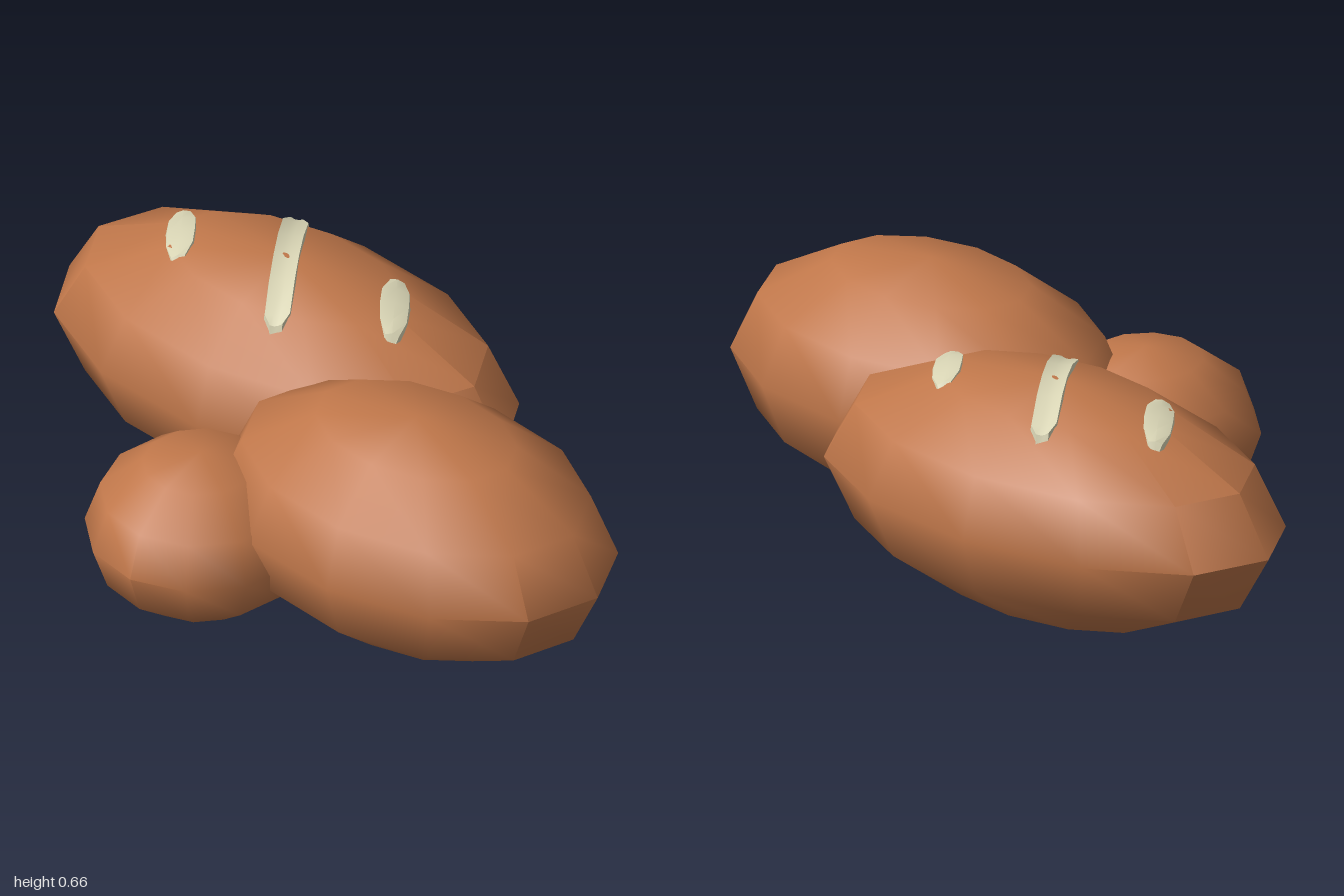
import * as THREE from 'three';
import { toCreasedNormals } from 'three/addons/utils/BufferGeometryUtils.js';

const crust = new THREE.MeshStandardMaterial({ color: 0xc0774a });
crust.name = 'crust brown';
const cream = new THREE.MeshStandardMaterial({ color: 0xd9d5b5, side: THREE.DoubleSide });
cream.name = 'cream slash';

const CREASE = THREE.MathUtils.degToRad(48);

// Low-sided ellipsoid loaf
function loaf(name, center, radii) {
  const geo = new THREE.SphereGeometry(1, 12, 6).scale(...radii);
  const mesh = new THREE.Mesh(toCreasedNormals(geo, CREASE), crust);
  mesh.name = name;
  mesh.position.set(...center);
  return mesh;
}

// Thin strip draped over a loaf. Profile: [across -1..1, height relative to crust].
// Rings: [along -1..1, width factor, lift factor].
function slash(name, center, radii, mid, dir, halfLength, halfWidth, profile, rings) {
  const d = new THREE.Vector2(...dir).normalize();
  const pos = [], index = [], n = profile.length;
  rings.forEach(([t, w, lift], i) => {
    profile.forEach(([u, h], j) => {
      const a = t * halfLength, b = u * w * halfWidth;
      const x = mid[0] + d.x * a + d.y * b;
      const z = mid[1] + d.y * a - d.x * b;
      const rx = (x - center[0]) / radii[0], rz = (z - center[2]) / radii[2];
      const y = center[1] + radii[1] * Math.sqrt(1 - rx * rx - rz * rz) + h * lift - (1 - lift) * 0.02;
      pos.push(x, y, z);
      if (i < rings.length - 1 && j < n - 1) {
        const k = i * n + j;
        index.push(k, k + n, k + 1, k + 1, k + n, k + n + 1);
      }
    });
  });
  const geo = new THREE.BufferGeometry();
  geo.setAttribute('position', new THREE.Float32BufferAttribute(pos, 3));
  geo.setIndex(index);
  const mesh = new THREE.Mesh(toCreasedNormals(geo, 0.5), cream);
  mesh.name = name;
  return mesh;
}

export function createModel() {
  const group = new THREE.Group();
  group.name = 'breadLoaves';

  const backCenter = [-0.3, 0.334, -0.275], backRadii = [0.703, 0.328, 0.391];
  group.add(
    loaf('backLoaf', backCenter, backRadii),
    loaf('frontLoaf', [0.41, 0.335, 0.115], [0.588, 0.33, 0.391]),
    loaf('smallBun', [-0.11, 0.237, 0.355], [0.302, 0.233, 0.307]),
  );

  // Long middle slash with a shallow channel
  const channel = [[-1, -0.02], [-0.9, 0.004], [-0.3, -0.001], [0.2, -0.001], [0.9, 0.004], [1, -0.02]];
  const longRings = [[-1, 0.45, 0], [-0.97, 0.5, 1], [-0.85, 1, 1], [-0.4, 1, 1], [0, 1, 1],
    [0.4, 1, 1], [0.85, 1, 1], [0.97, 0.5, 1], [1, 0.45, 0]];
  group.add(slash('middleSlash', backCenter, backRadii, [-0.3, -0.275], [0.25, 0.43],
    0.25, 0.037, channel, longRings));

  // Short rounded slashes on either side
  const dome = [[-1, -0.016], [-0.85, -0.002], [0, 0.003], [0.85, -0.002], [1, -0.016]];
  const shortRings = [[-1, 0.25, 0], [-0.9, 0.5, 1], [-0.5, 0.95, 1], [0, 1, 1],
    [0.5, 0.95, 1], [0.9, 0.5, 1], [1, 0.25, 0]];
  [['rightSlash', [-0.62, -0.245]], ['leftSlash', [0.025, -0.31]]].forEach(([name, mid]) =>
    group.add(slash(name, backCenter, backRadii, mid, [0.13, 0.2], 0.125, 0.043, dome, shortRings)));

  return group;
}
